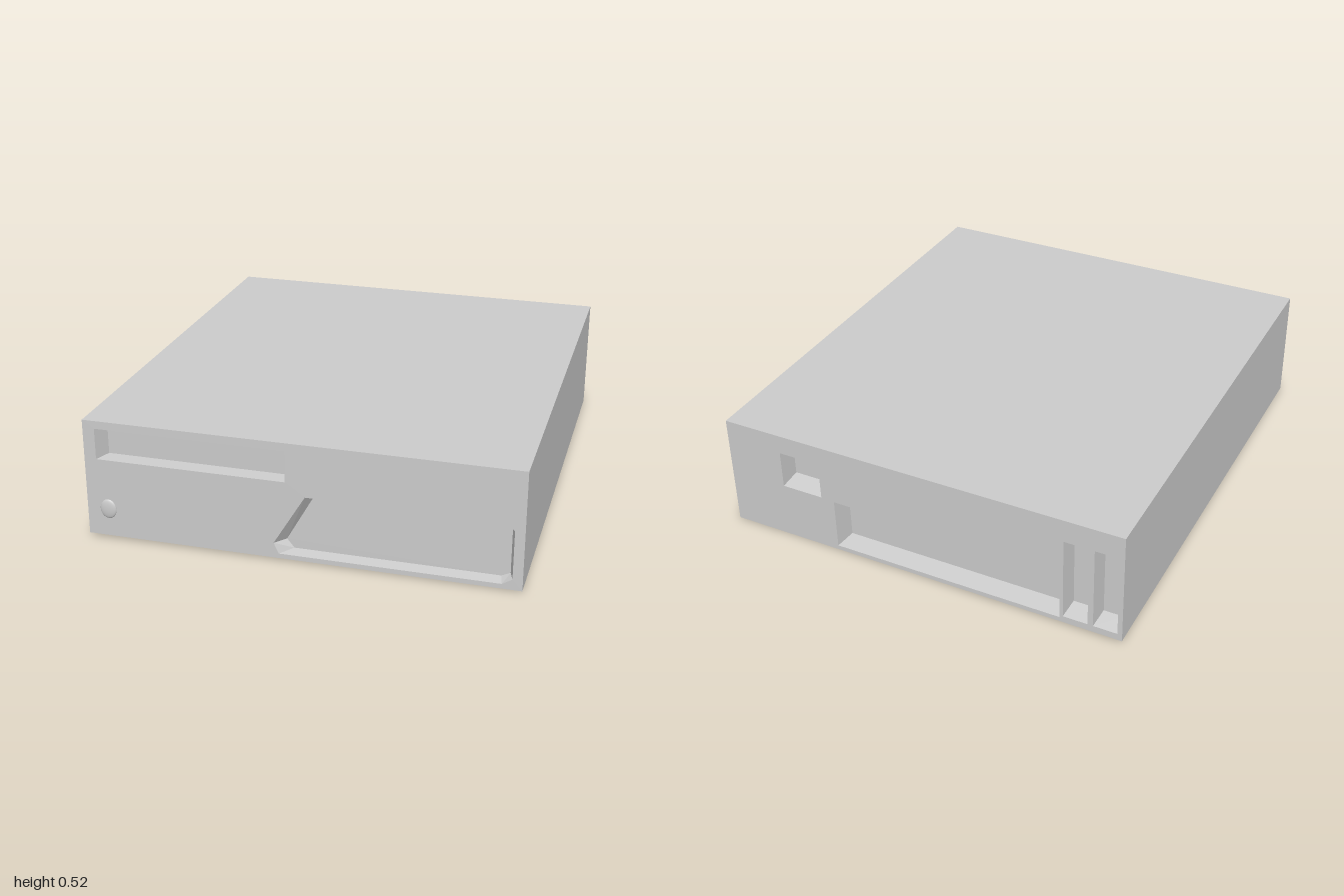
import * as THREE from 'three';

const W = 1.78, H = 0.5, FRONT = 0.99, BACK = -1;
const material = new THREE.MeshStandardMaterial({ color: 0xcccccc });

function part(parent, name, geometry) {
  const mesh = new THREE.Mesh(geometry, material);
  mesh.name = name;
  parent.add(mesh);
  return mesh;
}

const vectors = (pts) => pts.map(([x, y]) => new THREE.Vector2(x, y));
const rect = (x0, x1, y0, y1) => [[x0, y0], [x1, y0], [x1, y1], [x0, y1]];

// Rectangular pocket; the wall insets are left, right, bottom, top
function pocket(name, x0, x1, y0, y1, depth, l, r, b, t) {
  return { name, depth, outer: rect(x0, x1, y0, y1), inner: rect(x0 + l, x1 - r, y0 + b, y1 - t) };
}

// Sloping walls from the outer outline down to the inner one
function wallGeometry({ outer, inner, depth }) {
  const p = [];
  outer.forEach((a, i) => {
    const j = (i + 1) % outer.length;
    const A = [...a, 0], B = [...outer[j], 0];
    const C = [...inner[j], -depth], D = [...inner[i], -depth];
    p.push(...A, ...B, ...C, ...A, ...C, ...D);
  });
  const g = new THREE.BufferGeometry();
  g.setAttribute('position', new THREE.Float32BufferAttribute(p, 3));
  g.computeVertexNormals();
  return g;
}

// Flat panel pierced by sunken pockets, facing +z
function panel(name, recesses) {
  const group = new THREE.Group();
  group.name = name;
  const shape = new THREE.Shape(vectors(rect(-W / 2, W / 2, 0, H)));
  for (const r of recesses) shape.holes.push(new THREE.Path(vectors(r.outer)));
  part(group, name + 'Plate', new THREE.ShapeGeometry(shape));
  for (const r of recesses) {
    part(group, r.name + 'Walls', wallGeometry(r));
    const floor = new THREE.ShapeGeometry(new THREE.Shape(vectors(r.inner)));
    part(group, r.name + 'Floor', floor.translate(0, 0, -r.depth));
  }
  return group;
}

export function createModel() {
  const model = new THREE.Group();
  model.name = 'driveUnit';

  // Case: the four long sides of a box, open at both ends
  const sleeve = new THREE.BoxGeometry(W, H, FRONT - BACK);
  sleeve.setIndex(Array.from(sleeve.index.array).slice(0, 24));
  sleeve.clearGroups();
  sleeve.translate(0, H / 2, (FRONT + BACK) / 2);
  part(model, 'case', sleeve);

  // Front: long slot at the upper right, slanted door recess below
  const front = panel('frontPanel', [
    pocket('slot', -0.84, -0.05, 0.335, 0.467, 0.06, 0.03, 0.015, 0.005, 0.014),
    {
      name: 'doorRecess', depth: 0.05,
      outer: [[-0.1, 0.065], [-0.08, 0.02], [0.81, 0.02], [0.85, 0.045], [0.85, 0.25], [0.82, 0.28], [0.03, 0.28]],
      inner: [[-0.06, 0.065], [-0.03, 0.028], [0.8, 0.028], [0.835, 0.045], [0.835, 0.24], [0.81, 0.26], [0.05, 0.26]],
    },
  ]);
  front.position.z = FRONT;
  model.add(front);

  // Small domed indicator
  const dome = new THREE.SphereGeometry(0.035, 20, 8, 0, Math.PI * 2, 0, Math.PI / 2);
  dome.rotateX(Math.PI / 2).scale(1, 1.2, 0.28);
  part(front, 'indicator', dome).position.set(-0.8, 0.12, 0);

  // Back: square socket, wide connector bay and two upright slots
  const back = panel('backPanel', [
    pocket('socket', -0.634, -0.45, 0.25, 0.415, 0.08, 0.01, 0.02, 0.02, 0.015),
    pocket('connectorBay', -0.39, 0.626, 0.02, 0.245, 0.08, 0.02, 0.01, 0.015, 0.03),
    pocket('uprightSlotA', 0.64, 0.745, 0.03, 0.4, 0.08, 0.01, 0.01, 0.02, 0.01),
    pocket('uprightSlotB', 0.768, 0.87, 0.03, 0.4, 0.08, 0.01, 0.01, 0.02, 0.01),
  ]);
  back.position.z = BACK;
  back.rotation.y = Math.PI;
  model.add(back);

  // The unit leans very slightly
  model.position.y = 0.008;
  model.rotation.set(-0.002, 0, -0.0067);
  const root = new THREE.Group();
  root.name = 'model';
  root.add(model);
  return root;
}
